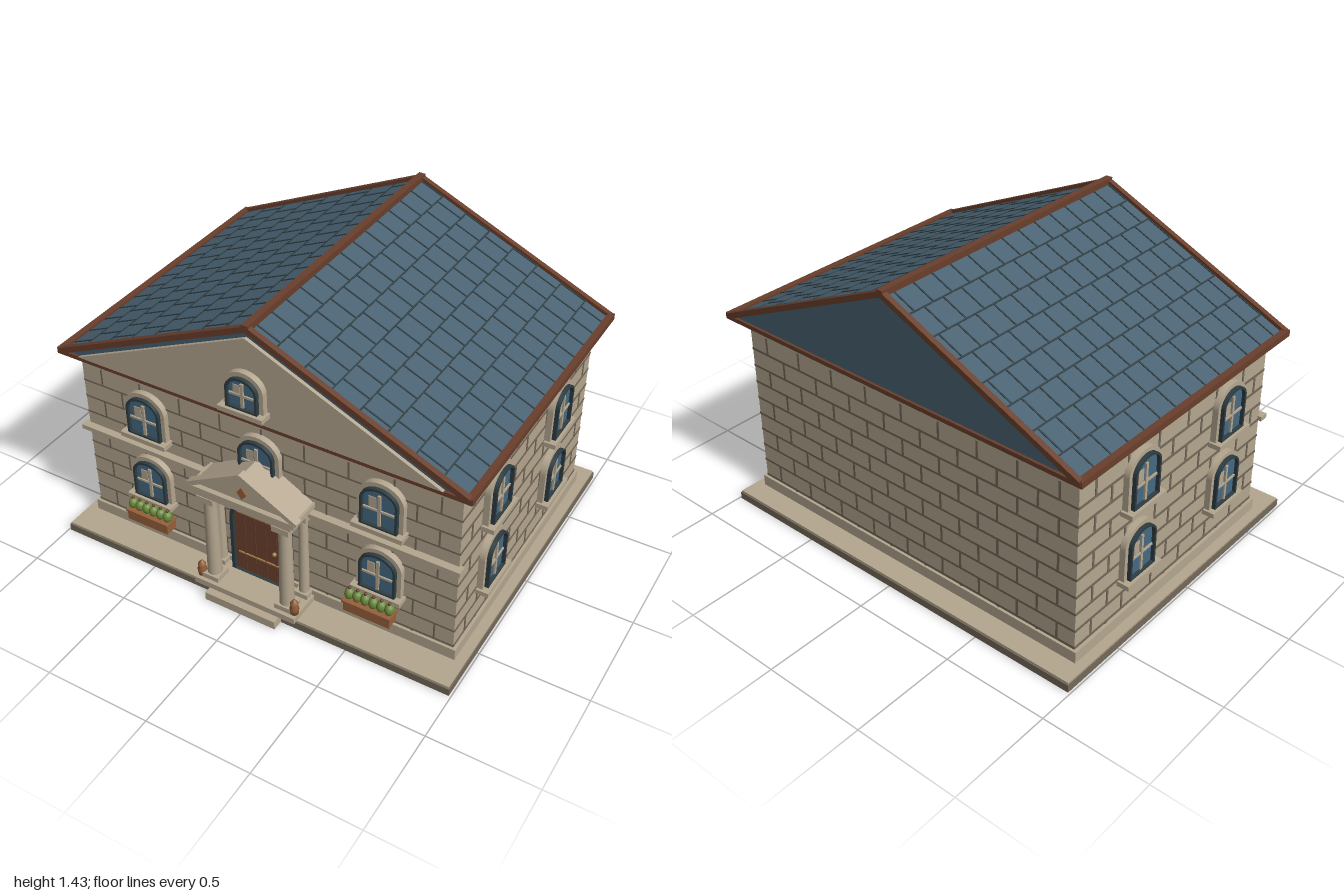
import * as THREE from 'three';
import { mergeGeometries } from 'three/addons/utils/BufferGeometryUtils.js';

const mat = (name, color) => {
  const m = new THREE.MeshStandardMaterial({ color });
  m.name = name;
  return m;
};
const M = {
  stone: mat('stone', 0xb5a790), mortar: mat('dark stone', 0x746959),
  roof: mat('roof slate', 0x486172), dark: mat('dark frame', 0x2e3d42),
  trim: mat('roof trim', 0x6a3f2c), glass: mat('glass', 0x466a82),
  door: mat('door wood', 0x704330), clay: mat('terracotta', 0x96603a),
  leaf: mat('leaves', 0x6a883c), brass: mat('brass', 0xae8748),
};

function add(parent, name, geo, material, x = 0, y = 0, z = 0) {
  const m = new THREE.Mesh(geo, material);
  m.name = name;
  m.position.set(x, y, z);
  parent.add(m);
  return m;
}
// Box given by its limits on each axis
const box = (parent, name, material, x0, x1, y0, y1, z0, z1) =>
  add(parent, name, new THREE.BoxGeometry(x1 - x0, y1 - y0, z1 - z0), material,
    (x0 + x1) / 2, (y0 + y1) / 2, (z0 + z1) / 2);
const extrude = (shape, depth) =>
  new THREE.ExtrudeGeometry(shape, { depth, bevelEnabled: false, curveSegments: 16 });
const triangle = (half, y0, y1) => new THREE.Shape([
  new THREE.Vector2(-half, y0), new THREE.Vector2(half, y0), new THREE.Vector2(0, y1)]);

// Straight-sided opening with an elliptical head
function arch(w, y0, h, rise, PathType = THREE.Shape) {
  const p = new PathType();
  p.moveTo(-w / 2, y0);
  p.lineTo(w / 2, y0);
  p.lineTo(w / 2, h - rise);
  p.absellipse(0, h - rise, w / 2, rise, 0, Math.PI, false, 0);
  p.lineTo(-w / 2, y0);
  return p;
}
function archRing(w, h, rise, out, inn, depth, foot = 0) {
  const s = arch(w + 2 * out, 0, h + out, rise + out);
  s.holes.push(arch(w - 2 * inn, foot, h - inn, rise - inn, THREE.Path));
  return extrude(s, depth);
}

// Running-bond joint lines on a w by h panel, lower left corner at the origin
function joints(w, h, row, period, t, d) {
  const parts = [];
  const strip = (sx, sy, x, y) => parts.push(new THREE.BoxGeometry(sx, sy, d).translate(x, y, 0));
  const rows = Math.round(h / row);
  for (let r = 0; r < rows; r++) {
    const y = r * row;
    if (r) strip(w, t, w / 2, y);
    for (let x = r % 2 ? period / 2 : period; x < w - t; x += period) strip(t, row, x, y + row / 2);
  }
  return mergeGeometries(parts);
}

function makeWindow(parent, name, x, y, z, turn, w, h) {
  const g = new THREE.Group();
  g.name = name;
  g.position.set(x, y, z);
  g.rotation.y = turn;
  const rise = w * 0.4;
  add(g, 'windowSurround', archRing(w, h, rise, 0.022, 0, 0.028, 0.001), M.stone);
  add(g, 'windowFrame', archRing(w, h, rise, 0.002, 0.009, 0.046, 0.008), M.dark);
  add(g, 'windowPane', extrude(arch(w - 0.012, 0.004, h - 0.006, rise), 0.03), M.glass);
  box(g, 'windowMullion', M.stone, -0.007, 0.007, 0.005, h * 0.82, 0.03, 0.038);
  box(g, 'windowTransom', M.stone, -w / 2 + 0.01, w / 2 - 0.01, h * 0.4, h * 0.4 + 0.01, 0.03, 0.037);
  box(g, 'paneGlint', M.stone, -w * 0.3, -w * 0.09, h * 0.47, h * 0.73, 0.03, 0.033);
  box(g, 'windowSill', M.stone, -w / 2 - 0.034, w / 2 + 0.034, -0.023, 0, 0, 0.06);
  parent.add(g);
}

function makeFlowerBox(parent, x) {
  const g = new THREE.Group();
  g.name = 'flowerBox';
  g.position.x = x;
  box(g, 'planter', M.clay, -0.11, 0.11, 0.17, 0.222, 0.648, 0.712);
  box(g, 'planterRim', M.clay, -0.115, 0.115, 0.215, 0.227, 0.644, 0.717);
  for (let i = 0; i < 6; i++) {
    const px = -0.095 + i * 0.038;
    const bush = add(g, 'plant', new THREE.SphereGeometry(0.023, 10, 8), M.leaf, px, 0.25, 0.682);
    bush.scale.set(0.95, 1.25, 1.1);
    add(g, 'blossom', new THREE.SphereGeometry(0.008, 8, 6), M.trim, px, 0.281, 0.682);
  }
  parent.add(g);
}

function makeColumn(parent, x, z, r) {
  const g = new THREE.Group();
  g.name = 'column';
  g.position.set(x, 0, z);
  const b = r + 0.008;
  box(g, 'columnBase', M.stone, -b, b, 0.075, 0.1, -b, b);
  add(g, 'columnShaft', new THREE.CylinderGeometry(r * 0.86, r, 0.42, 16), M.stone, 0, 0.31, 0);
  box(g, 'columnCapital', M.stone, -b, b, 0.52, 0.55, -b, b);
  parent.add(g);
}

export function createModel() {
  const house = new THREE.Group();
  house.name = 'house';

  // Plinth and walls
  box(house, 'foundation', M.mortar, -0.99, 0.99, 0, 0.036, -0.83, 0.77);
  box(house, 'terrace', M.stone, -0.985, 0.985, 0.036, 0.045, -0.825, 0.765);
  box(house, 'walls', M.stone, -0.925, 0.925, 0.04, 0.97, -0.71, 0.61);
  box(house, 'wallPlinth', M.stone, -0.94, 0.94, 0.045, 0.1, -0.722, 0.622);
  box(house, 'lowerCornice', M.stone, -0.933, 0.933, 0.9, 0.925, -0.718, 0.618);
  box(house, 'upperCornice', M.stone, -0.945, 0.945, 0.925, 0.965, -0.728, 0.628);
  box(house, 'frontBand', M.stone, -0.945, 0.945, 0.54, 0.562, 0.6, 0.645);

  // Masonry joints on the four walls
  for (const [x, z, turn, w, t] of [
    [-0.925, 0.61, 0, 1.85, 0.008], [0.925, -0.71, Math.PI, 1.85, 0.012],
    [0.925, 0.61, Math.PI / 2, 1.32, 0.012], [-0.925, -0.71, -Math.PI / 2, 1.32, 0.012]]) {
    const j = add(house, 'mortarJoints', joints(w, 0.86, 0.0861, 0.207, t, 0.005), M.mortar, x, 0.025, z);
    j.rotation.y = turn;
  }

  // Solid roof with slate joints on each slope
  const half = 0.975, eave = 0.972, ridge = 1.41, zf = 0.672, zb = -0.775;
  const len = zf - zb, zm = (zf + zb) / 2;
  const slope = Math.hypot(half, ridge - eave), ang = Math.atan2(ridge - eave, half);
  add(house, 'roof', extrude(triangle(half, eave, ridge), len), M.roof, 0, 0, zb);
  for (const s of [1, -1]) {
    const j = add(house, 'slateJoints', joints(len, slope, slope / 8, 0.106, 0.007, 0.006), M.dark);
    const basis = new THREE.Matrix4().makeBasis(
      new THREE.Vector3(0, 0, -s),
      new THREE.Vector3(-s * Math.cos(ang), Math.sin(ang), 0),
      new THREE.Vector3(s * Math.sin(ang), Math.cos(ang), 0));
    j.quaternion.setFromRotationMatrix(basis);
    j.position.set(s * half, eave, s > 0 ? zf : zb);
    // Eaves and gable edges
    box(house, 'eaveTrim', M.trim, s * half - 0.015, s * half + 0.015, 0.96, 0.99, zb - 0.01, zf + 0.01);
    for (const z of [zf, zb]) {
      const rake = add(house, 'gableTrim', new THREE.BoxGeometry(slope + 0.01, 0.026, 0.026), M.trim,
        s * half / 2, (eave + ridge) / 2 + 0.004, z);
      rake.rotation.z = -s * ang;
    }
  }
  for (const z of [zf, zb]) box(house, 'gableFootTrim', M.trim, -0.985, 0.985, 0.962, 0.982, z - 0.012, z + 0.012);
  add(house, 'ridgeTrim', new THREE.BoxGeometry(0.032, 0.032, len + 0.026), M.trim, 0, ridge + 0.006, zm);
  add(house, 'gablePanel', extrude(triangle(0.87, 0.982, 1.375), 0.016), M.stone, 0, 0, zf);

  // Windows
  makeWindow(house, 'atticWindow', 0, 1.058, 0.688, 0, 0.145, 0.15);
  makeWindow(house, 'middleWindow', 0, 0.638, 0.61, 0, 0.168, 0.198);
  for (const s of [1, -1]) {
    for (const y of [0.285, 0.638]) {
      makeWindow(house, 'frontWindow', s * 0.58, y, 0.61, 0, 0.168, 0.2);
      for (const z of [0.307, -0.322])
        makeWindow(house, 'sideWindow', s * 0.925, y - 0.005, z, s * Math.PI / 2, 0.168, 0.225);
    }
    makeFlowerBox(house, s * 0.565);
  }

  // Door with planks, straps and knob
  const door = new THREE.Group();
  door.name = 'door';
  door.position.set(0, 0.075, 0.61);
  add(door, 'doorFrame', archRing(0.264, 0.43, 0.132, 0.016, 0, 0.045, 0.001), M.dark);
  add(door, 'doorLeaf', extrude(arch(0.264, 0, 0.43, 0.132), 0.03), M.door);
  for (const x of [-0.08, -0.027, 0.027, 0.08])
    box(door, 'plankGap', M.trim, x - 0.003, x + 0.003, 0.005, 0.39 - Math.abs(x) * 0.3, 0.03, 0.033);
  for (const y of [0.1, 0.335]) box(door, 'doorStrap', M.brass, -0.115, 0.115, y, y + 0.007, 0.03, 0.035);
  add(door, 'doorKnob', new THREE.SphereGeometry(0.01, 10, 8), M.brass, 0.075, 0.175, 0.038);
  house.add(door);

  // Steps and portico
  box(house, 'lowerStep', M.stone, -0.18, 0.18, 0.005, 0.046, 0.6, 0.825);
  box(house, 'upperStep', M.stone, -0.258, 0.258, 0.045, 0.075, 0.6, 0.79);
  for (const s of [1, -1]) {
    makeColumn(house, s * 0.188, 0.73, 0.034);
    makeColumn(house, s * 0.215, 0.632, 0.024);
    // Small urn beside the entrance
    const profile = [[0, 0], [0.018, 0], [0.022, 0.03], [0.016, 0.05], [0.019, 0.058], [0.008, 0.075], [0, 0.08]];
    add(house, 'urn', new THREE.LatheGeometry(profile.map(p => new THREE.Vector2(...p)), 12), M.clay,
      s * 0.24, 0.075, 0.755);
    // Raking cornice
    const rake = add(house, 'pedimentCornice', new THREE.BoxGeometry(0.31, 0.022, 0.04), M.stone,
      s * 0.133, 0.674, 0.757);
    rake.rotation.z = -s * Math.atan2(0.145, 0.265);
  }
  box(house, 'architrave', M.stone, -0.24, 0.24, 0.55, 0.578, 0.6, 0.768);
  box(house, 'entablature', M.stone, -0.262, 0.262, 0.578, 0.602, 0.6, 0.778);
  add(house, 'pediment', extrude(triangle(0.25, 0.602, 0.742), 0.145), M.stone, 0, 0, 0.61);
  const gem = new THREE.Shape([[0, -0.032], [0.024, 0], [0, 0.032], [-0.024, 0]].map(p => new THREE.Vector2(...p)));
  add(house, 'pedimentDiamond', extrude(gem, 0.008), M.clay, 0, 0.648, 0.755);

  return house;
}
